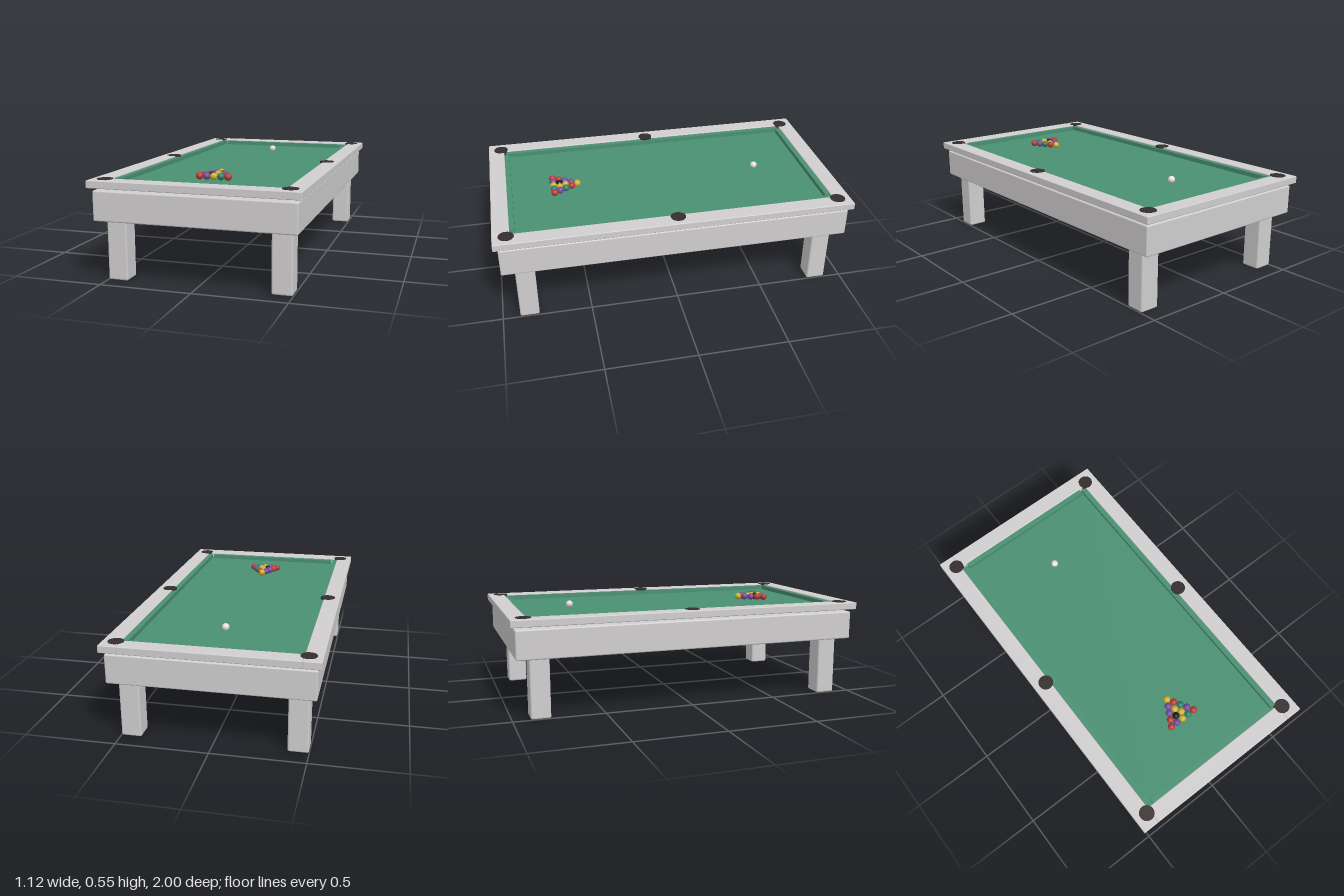
import * as THREE from 'three';
import { RoundedBoxGeometry } from 'three/addons/geometries/RoundedBoxGeometry.js';

const paint = (name, color) => {
  const m = new THREE.MeshStandardMaterial({ color });
  m.name = name;
  return m;
};

export function createModel() {
  const table = new THREE.Group();
  table.name = 'poolTable';

  const frame = paint('paleGrey', 0xd0cece);
  const cloth = paint('clothGreen', 0x4a9072);
  const dark = paint('pocketBlack', 0x352d2d);
  const white = paint('ballWhite', 0xece6e0);
  const ballColours = {
    y: paint('ballYellow', 0xd0b030),
    r: paint('ballRed', 0xb83c38),
    p: paint('ballPurple', 0x7a4a9c),
    g: paint('ballGreen', 0x2f8068),
    k: paint('ballBlack', 0x1c161c),
  };

  const add = (name, geometry, material, x, y, z) => {
    const mesh = new THREE.Mesh(geometry, material);
    mesh.name = name;
    mesh.position.set(x, y, z);
    table.add(mesh);
    return mesh;
  };
  // Box given by its size, centre and base height; r rounds the edges
  const block = (name, material, w, h, d, x, base, z, r = 0) =>
    add(name, r ? new RoundedBoxGeometry(w, h, d, 3, r) : new THREE.BoxGeometry(w, h, d),
      material, x, base + h / 2, z);

  // Cabinet and playing bed
  block('cabinet', frame, 1.076, 0.16, 1.952, 0, 0.328, 0, 0.008);
  block('bed', cloth, 0.94, 0.027, 1.82, 0, 0.486, 0);

  for (const s of [-1, 1]) {
    // Rails and the cushions along their inner edges
    block('sideRail', frame, 0.094, 0.04, 2, s * 0.512, 0.503, 0, 0.004);
    block('endRail', frame, 0.93, 0.04, 0.094, 0, 0.503, s * 0.953, 0.004);
    block('sideCushion', cloth, 0.032, 0.026, 1.79, s * 0.451, 0.511, 0);
    block('endCushion', cloth, 0.85, 0.026, 0.032, 0, 0.511, s * 0.893);

    for (const t of [-1, 1]) {
      block('leg', frame, 0.11, 0.332, 0.108, s * 0.443, 0, t * 0.85, 0.01);
    }
    // Corner and middle pockets
    for (const z of [-0.925, 0, 0.925]) {
      add('pocket', new THREE.CylinderGeometry(0.042, 0.042, 0.04, 32), dark, s * 0.487, 0.525, z);
    }
  }

  // Racked triangle of balls and the cue ball
  const R = 0.02;
  const ball = new THREE.SphereGeometry(R, 24, 16);
  ['y', 'pr', 'pyg', 'rkyp', 'rpygr'].forEach((row, i) => {
    [...row].forEach((c, j) => {
      add('ball', ball, ballColours[c], (2 * j - i) * R, 0.533, 0.497 + i * R * Math.sqrt(3));
    });
  });
  add('cueBall', ball, white, 0, 0.533, -0.585);

  return table;
}
